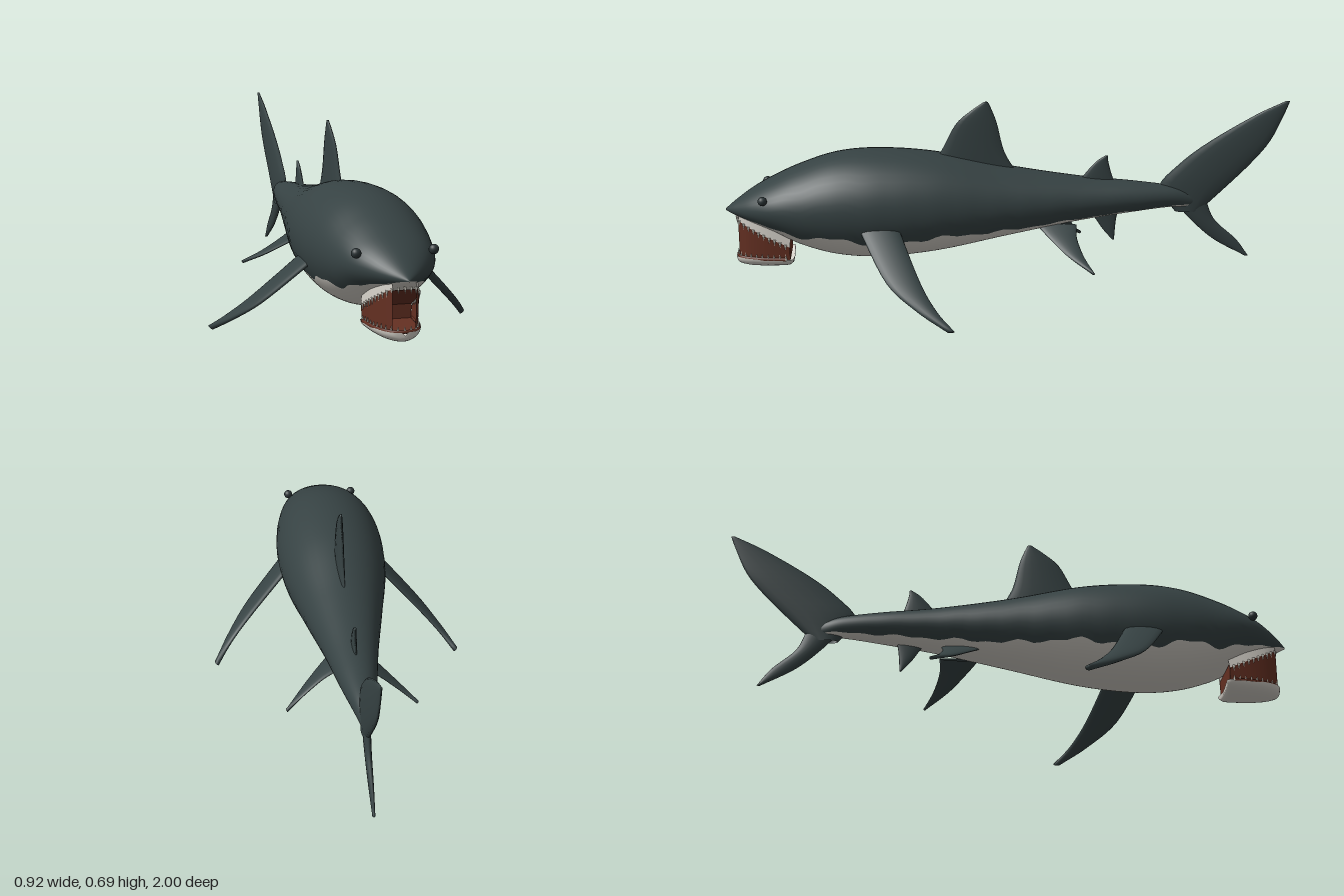
import * as THREE from 'three';

const V = (x, y, z) => new THREE.Vector3(x, y, z);
const mat = (name, color) => {
  const m = new THREE.MeshStandardMaterial({ color, side: THREE.DoubleSide });
  m.name = name;
  return m;
};

// Smoothly resamples rows of numbers into n + 1 rows.
function resample(rows, n) {
  const size = rows[0].length;
  const curve = new THREE.CubicInterpolant(rows.map((_, i) => i), rows.flat(), size, new Float32Array(size));
  return Array.from({ length: n + 1 }, (_, i) => Array.from(curve.evaluate((i / n) * (rows.length - 1))));
}

// Skins a list of point rings; columns from `split` on use the second material.
function loft(rings, closed = true, split = Infinity) {
  const n = rings[0].length, cols = closed ? n : n - 1;
  const first = [], second = [];
  for (let i = 0; i < rings.length - 1; i++) {
    for (let j = 0; j < cols; j++) {
      const a = i * n + j, b = i * n + ((j + 1) % n), c = a + n, d = b + n;
      (j < split ? first : second).push(a, c, b, b, c, d);
    }
  }
  const g = new THREE.BufferGeometry().setFromPoints(rings.flat());
  g.setIndex([...first, ...second]);
  if (second.length) {
    g.addGroup(0, first.length, 0);
    g.addGroup(first.length, second.length, 1);
  }
  g.computeVertexNormals();
  return g;
}

const centre = ring => {
  const c = ring.reduce((s, p) => s.add(p), V(0, 0, 0)).divideScalar(ring.length);
  return ring.map(() => c.clone());
};

// Fin from stations [x, y, leading z, trailing z, half thickness].
function finGeometry(stations) {
  const a = stations[0], b = stations[stations.length - 1];
  const normal = V(b[1] - a[1], a[0] - b[0], 0).normalize();
  const rings = resample(stations, 20).map(([x, y, lead, trail, t]) =>
    Array.from({ length: 16 }, (_, k) => {
      const ang = (k / 16) * Math.PI * 2;
      return V(x, y, (lead + trail) / 2 + ((lead - trail) / 2) * Math.cos(ang))
        .addScaledVector(normal, t * Math.sin(ang));
    }));
  rings.push(centre(rings[rings.length - 1]));
  return loft(rings);
}

export function createModel() {
  const shark = new THREE.Group();
  shark.name = 'shark';
  const skin = mat('slate skin', 0x364243);
  const belly = mat('pale belly', 0xd2cec6);
  const flesh = mat('mouth flesh', 0x653022);
  const ivory = mat('tooth ivory', 0xe8e4d8);
  const eyeMat = mat('dark eye', 0x2c3537);
  const add = (name, geometry, material, parent = shark) => {
    const m = new THREE.Mesh(geometry, material);
    m.name = name;
    parent.add(m);
    return m;
  };

  // Body stations: z, top y, bottom y, half width, height of the colour line
  const body = resample([
    [1.0, 0.318, 0.312, 0.003, 0.314], [0.96, 0.35, 0.294, 0.048, 0.305],
    [0.9, 0.392, 0.27, 0.1, 0.29], [0.83, 0.43, 0.24, 0.14, 0.272],
    [0.73, 0.475, 0.188, 0.17, 0.25], [0.6, 0.515, 0.15, 0.192, 0.25],
    [0.45, 0.525, 0.14, 0.2, 0.228], [0.25, 0.507, 0.158, 0.185, 0.247],
    [0, 0.453, 0.207, 0.14, 0.252], [-0.25, 0.412, 0.253, 0.094, 0.274],
    [-0.45, 0.39, 0.28, 0.063, 0.292], [-0.58, 0.372, 0.293, 0.038, 0.302],
    [-0.65, 0.35, 0.29, 0.02, 0.303], [-0.7, 0.325, 0.295, 0.004, 0.302],
  ], 120);
  const half = 28;
  const bodyRings = body.map(([z, top, bottom, w, line]) => {
    const yc = (top + bottom) / 2, ry = Math.max((top - bottom) / 2, 0.001);
    const fade = THREE.MathUtils.clamp((top - bottom) * 3, 0, 1);
    const wave = fade * (0.005 * Math.sin(z * 58) + 0.005 * Math.sin(z * 31 + 1));
    const a0 = Math.asin(THREE.MathUtils.clamp((line + wave - yc) / ry, -0.95, 0.95));
    return Array.from({ length: half * 2 }, (_, k) => {
      const a = k < half ? a0 + (Math.PI - 2 * a0) * (k / half)
        : Math.PI - a0 + (Math.PI + 2 * a0) * (k / half - 1);
      return V(Math.max(w, 0.002) * Math.cos(a), yc + ry * Math.sin(a), z);
    });
  });
  bodyRings.unshift(centre(bodyRings[0]));
  bodyRings.push(centre(bodyRings[bodyRings.length - 1]));
  add('body', loft(bodyRings, true, half), [skin, belly]);

  // Single fins
  const single = {
    dorsalFin: [[0, 0.43, 0.3, -0.03, 0.014], [0, 0.51, 0.24, 0.015, 0.013], [0, 0.61, 0.186, 0.04, 0.01],
      [0, 0.66, 0.13, 0.058, 0.007], [0, 0.69, 0.086, 0.072, 0.004]],
    rearDorsalFin: [[0, 0.375, -0.24, -0.385, 0.009], [0, 0.42, -0.272, -0.368, 0.008],
      [0, 0.465, -0.312, -0.356, 0.006], [0, 0.487, -0.345, -0.354, 0.004]],
    analFin: [[0, 0.285, -0.29, -0.395, 0.008], [0, 0.25, -0.315, -0.388, 0.007],
      [0, 0.21, -0.342, -0.384, 0.006], [0, 0.172, -0.375, -0.382, 0.004]],
    upperTailLobe: [[0, 0.275, -0.6, -0.69, 0.016], [0, 0.365, -0.54, -0.785, 0.018],
      [0, 0.45, -0.61, -0.87, 0.016], [0, 0.53, -0.714, -0.935, 0.013],
      [0, 0.625, -0.875, -0.98, 0.008], [0, 0.676, -0.985, -1, 0.004]],
    lowerTailLobe: [[0, 0.32, -0.59, -0.71, 0.014], [0, 0.24, -0.66, -0.745, 0.012],
      [0, 0.165, -0.745, -0.825, 0.009], [0, 0.1, -0.86, -0.873, 0.005]],
  };
  for (const [name, stations] of Object.entries(single)) add(name, finGeometry(stations), skin);

  // Paired fins
  const paired = {
    PectoralFin: [[0.15, 0.315, 0.54, 0.4, 0.013], [0.2, 0.265, 0.515, 0.38, 0.013],
      [0.325, 0.14, 0.435, 0.32, 0.012], [0.4, 0.066, 0.335, 0.268, 0.011], [0.453, 0.012, 0.235, 0.21, 0.01]],
    PelvicFin: [[0.05, 0.247, -0.1, -0.24, 0.008], [0.1, 0.213, -0.14, -0.237, 0.008],
      [0.165, 0.167, -0.2, -0.255, 0.007], [0.23, 0.125, -0.278, -0.287, 0.006]],
  };
  for (const [side, s] of [['left', 1], ['right', -1]]) {
    for (const [name, stations] of Object.entries(paired)) {
      add(side + name, finGeometry(stations.map(([x, ...r]) => [x * s, ...r])), skin);
    }
    add(side + 'Eye', new THREE.SphereGeometry(0.016, 20, 14), eyeMat).position.set(0.125 * s, 0.38, 0.86);
  }

  // Mouth outline on one side: half width, upper lip y, z
  const mouth = new THREE.Group();
  mouth.name = 'mouth';
  shark.add(mouth);
  const lip = resample([[0.038, 0.284, 0.955], [0.06, 0.262, 0.915], [0.076, 0.232, 0.855], [0.084, 0.195, 0.775]], 16);
  const rim = 0.145;
  const pair = (dy, k = 1) => lip.map(([x, y, z]) => [V(x * k, y + dy, z), V(-x * k, y + dy, z)]);
  for (const s of [1, -1]) {
    add('cheekWall', loft(lip.map(([x, y, z]) => [V(s * x, y, z), V(s * x * 0.95, rim, z)]), false), flesh, mouth);
    add('upperLip', loft(lip.map(([x, y, z]) => [V(s * x, y, z), V(s * x * 0.96, y + 0.035, z - 0.004)]), false), belly, mouth);
  }
  add('palate', loft(pair(-0.004), false), flesh, mouth);
  add('mouthFloor', loft(lip.map(([x, , z]) => [V(x, rim, z), V(-x, rim, z)]), false), flesh, mouth);
  add('throat', loft([[V(0.084, 0.21, 0.775), V(-0.084, 0.21, 0.775)],
    [V(0.08, rim, 0.775), V(-0.08, rim, 0.775)]], false), flesh, mouth);

  // Lower jaw: z, half width, bottom y
  const jawRings = resample([[0.968, 0.012, 0.132], [0.958, 0.04, 0.12], [0.92, 0.065, 0.112],
    [0.86, 0.08, 0.11], [0.785, 0.087, 0.113], [0.765, 0.08, 0.125]], 24).map(([z, w, low]) =>
    Array.from({ length: 21 }, (_, k) => {
      const a = Math.PI * (1 + k / 20);
      return V(w * Math.cos(a), 0.15 + (0.15 - low) * Math.sin(a), z);
    }));
  jawRings.unshift(centre(jawRings[0]));
  jawRings.push(centre(jawRings[jawRings.length - 1]));
  add('lowerJaw', loft(jawRings, false), belly, mouth);

  // Gum ridge and tooth rows around each jaw
  const arch = (yAt, front) => {
    const side = [3, 9, 15].map(i => lip[i]);
    return new THREE.CatmullRomCurve3([
      ...side.slice().reverse().map(([x, y, z]) => V(x, yAt(y), z)),
      V(0.036, yAt(0.283), 0.952), V(0, yAt(front), 0.962), V(-0.036, yAt(0.283), 0.952),
      ...side.map(([x, y, z]) => V(-x, yAt(y), z)),
    ]);
  };
  const toothRow = (name, curve, count, dir) => {
    for (let i = 0; i < count; i++) {
      const tooth = add(name, new THREE.ConeGeometry(0.0055, 0.022, 8), ivory, mouth);
      tooth.position.copy(curve.getPointAt(i / (count - 1)));
      tooth.position.y += dir * 0.008;
      if (dir < 0) tooth.rotation.x = Math.PI;
    }
  };
  const upper = arch(y => y, 0.287), lower = arch(() => 0.15, 0);
  add('lowerGum', new THREE.TubeGeometry(lower, 48, 0.006, 8), flesh, mouth);
  toothRow('upperTooth', upper, 23, -1);
  toothRow('lowerTooth', lower, 21, 1);

  return shark;
}
